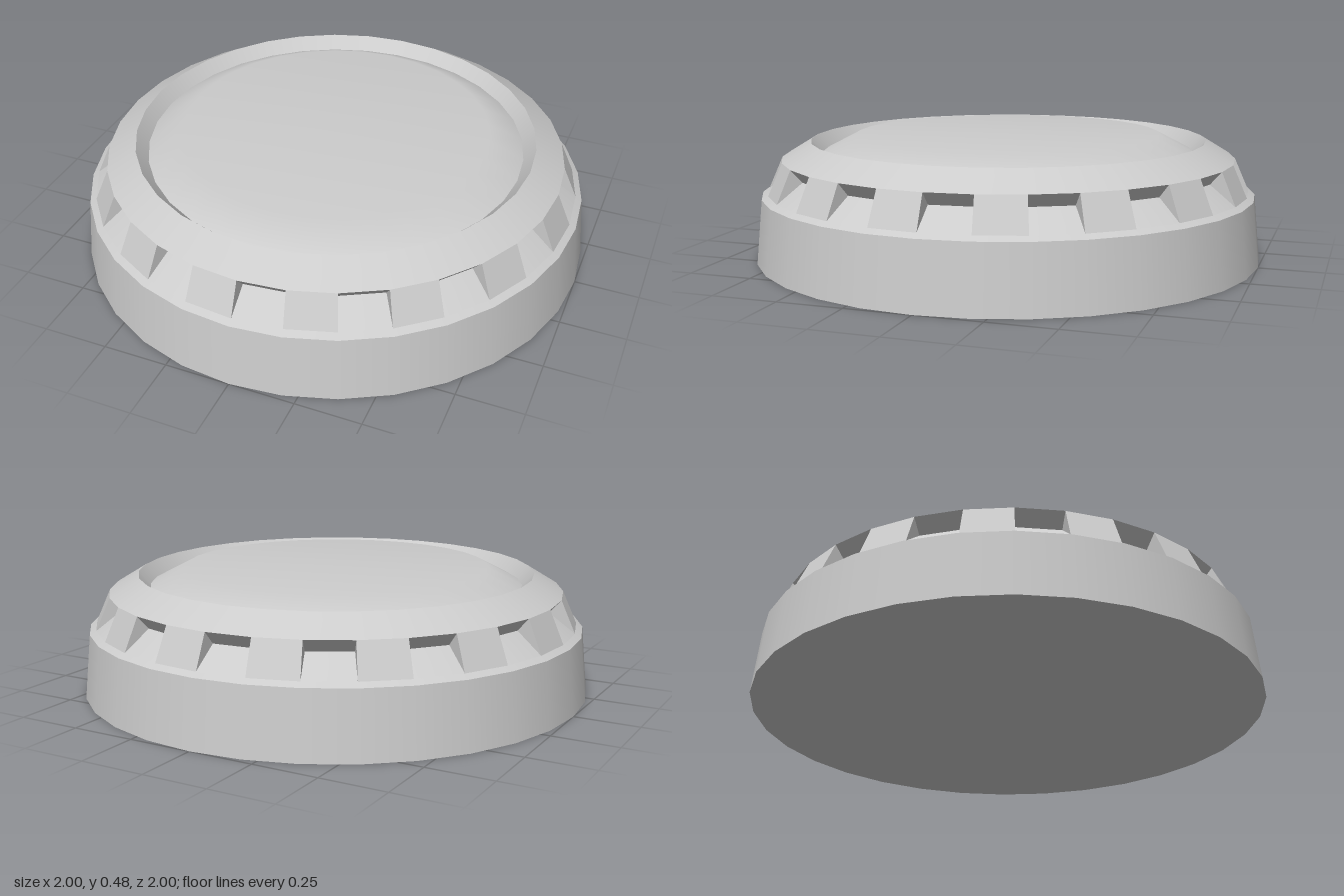
import * as THREE from 'three';

const SEGMENTS = 32;
const material = new THREE.MeshStandardMaterial({ color: 0xcccccc });

// One smooth band of the turned body, from [radius, height] points
function band(name, points) {
  const profile = points.map(([r, y]) => new THREE.Vector2(r, y));
  const mesh = new THREE.Mesh(new THREE.LatheGeometry(profile, SEGMENTS), material);
  mesh.name = name;
  return mesh;
}

// Shared corners of the groove: lower lip, deepest line, upper lip
const LOW = [0.95, 0.265];
const DEEP = [0.85, 0.34];
const HIGH = [0.895, 0.39];

// Wedge that fills one segment of the groove
function toothGeometry() {
  const at = ([r, y], a) => [r * Math.sin(a), y, r * Math.cos(a)];
  const a = (-2 * Math.PI) / SEGMENTS;
  const b = 0;
  const faces = [
    [at(LOW, a), at(LOW, b), at(HIGH, b)], // outer face
    [at(LOW, a), at(HIGH, b), at(HIGH, a)],
    [at(LOW, b), at(DEEP, b), at(HIGH, b)], // sides
    [at(LOW, a), at(HIGH, a), at(DEEP, a)],
  ];
  const geometry = new THREE.BufferGeometry();
  geometry.setAttribute('position', new THREE.Float32BufferAttribute(faces.flat(2), 3));
  geometry.computeVertexNormals();
  return geometry;
}

export function createModel() {
  const model = new THREE.Group();
  model.name = 'roundCap';

  // Turned body, split at its sharp edges
  model.add(
    band('bottom', [[0, 0], [1, 0]]),
    band('baseWall', [[1, 0], [0.975, 0.25]]),
    band('ledge', [[0.975, 0.25], LOW]),
    band('grooveFloor', [LOW, DEEP]),
    band('rimUnderside', [DEEP, HIGH]),
    band('rim', [HIGH, [0.78, 0.46]]),
    band('rimInnerWall', [[0.78, 0.46], [0.735, 0.41]]),
    band('dome', [[0.735, 0.41], [0.6, 0.48], [0, 0.48]]),
  );

  // Teeth in every second segment of the groove
  const teeth = new THREE.Group();
  teeth.name = 'teeth';
  const geometry = toothGeometry();
  for (let i = 0; i < SEGMENTS / 2; i++) {
    const tooth = new THREE.Mesh(geometry, material);
    tooth.name = 'tooth';
    tooth.rotation.y = (i * 4 * Math.PI) / SEGMENTS;
    teeth.add(tooth);
  }
  model.add(teeth);
  return model;
}
